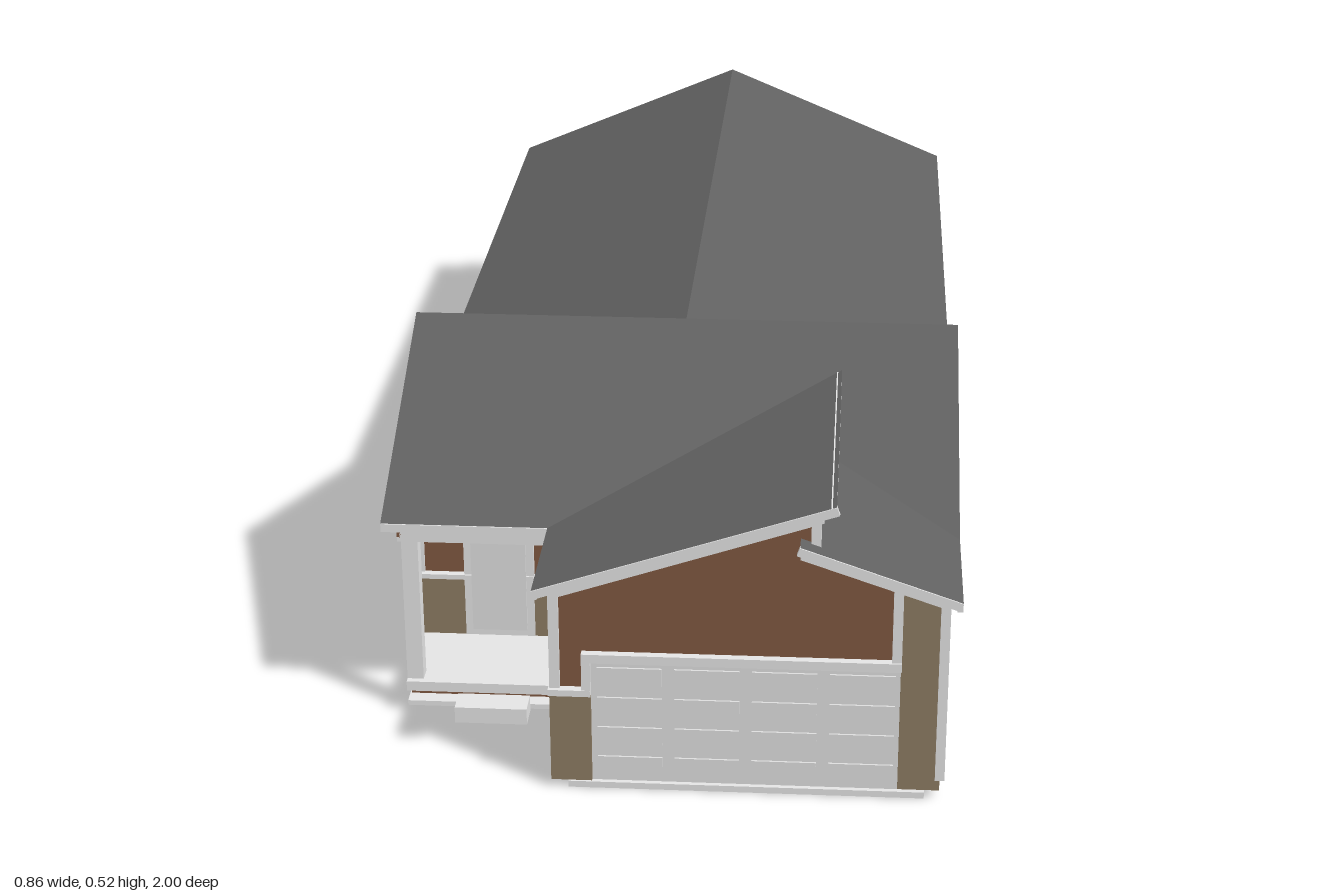
import * as THREE from 'three';

const mat = (name, color, side = THREE.FrontSide) => {
  const m = new THREE.MeshStandardMaterial({ color, side });
  m.name = name;
  return m;
};

export function createModel() {
  const house = new THREE.Group();
  house.name = 'house';
  const siding = mat('brown siding', 0x7f5840);
  const trim = mat('light trim', 0xe4e4e4);
  const stone = mat('tan stone', 0x8c7b62);
  const shingle = mat('grey shingles', 0x616161, THREE.DoubleSide);
  const glass = mat('pale glass', 0xd6d6d6);
  const doorPaint = mat('door paint', 0xdedede);

  const add = (name, geo, material, parent = house) => {
    const m = new THREE.Mesh(geo, material);
    m.name = name;
    parent.add(m);
    return m;
  };
  // Box given by its limits
  const box = (name, material, x0, x1, y0, y1, z0, z1, parent = house) => {
    const m = add(name, new THREE.BoxGeometry(x1 - x0, y1 - y0, z1 - z0), material, parent);
    m.position.set((x0 + x1) / 2, (y0 + y1) / 2, (z0 + z1) / 2);
    return m;
  };
  const T = 0.01; // wall thickness
  const plate = pts => new THREE.ExtrudeGeometry(
    new THREE.Shape(pts.map(p => new THREE.Vector2(...p))), { depth: T, bevelEnabled: false });
  // Wall across x (points are x, y), from z to z + T
  const wallZ = (name, z, pts) => { add(name, plate(pts), siding).position.z = z; };
  // Wall along z (points are z, y), from x - T to x
  const wallX = (name, x, pts) => {
    const m = add(name, plate(pts), siding);
    m.rotation.y = -Math.PI / 2;
    m.position.x = x;
  };
  // Flat polygon of roofing
  const roof = (name, ...pts) => {
    const pos = [];
    for (let i = 1; i < pts.length - 1; i++) pos.push(...pts[0], ...pts[i], ...pts[i + 1]);
    const g = new THREE.BufferGeometry();
    g.setAttribute('position', new THREE.Float32BufferAttribute(pos, 3));
    g.computeVertexNormals();
    add(name, g, shingle);
  };
  // Trim board whose top edge runs from a to b
  const board = (name, a, b, h = 0.013, t = 0.008) => {
    const A = new THREE.Vector3(...a), B = new THREE.Vector3(...b);
    const dir = B.clone().sub(A), len = dir.length();
    dir.normalize();
    const side = dir.clone().cross(new THREE.Vector3(0, 1, 0)).normalize();
    const up = side.clone().cross(dir);
    const m = add(name, new THREE.BoxGeometry(len, h, t), trim);
    m.quaternion.setFromRotationMatrix(new THREE.Matrix4().makeBasis(dir, up, side));
    m.position.copy(A).add(B).multiplyScalar(0.5).addScaledVector(up, -h / 2 - 0.001);
  };

  // Roofs
  const E = 0.332, R = 0.52, RZ = 0.42, W = 0.43;
  const V = [0, 0.512, 0.4];
  for (const s of [-1, 1]) {
    const flip = a => (s < 0 ? a : a.reverse());
    roof('rearRoof', ...flip([[s * W, E, -1], [s * W, E, 0.04], V, [0, 0.512, -1]]));
    roof('crossRoofBack', ...flip([V, [s * W, E, 0.04], [s * W, R, RZ], [0, R, RZ]]));
    board('rearEaveFascia', [s * 0.426, E, -1], [s * 0.426, E, 0.04]);
    board('rearRake', [s * W, E, -0.996], [0, 0.512, -0.996]);
    board('rearFrieze', [s * 0.41, E - 0.008, -0.966], [0, 0.5, -0.966], 0.015);
    board('crossRakeBack', [s * 0.426, E, 0.04], [s * 0.426, R, RZ]);
    board('crossRakeFront', [s * 0.426, E, 0.8], [s * 0.426, R, RZ]);
  }
  roof('crossRoofFront', [-W, R, RZ], [-W, E, 0.8], [W, E, 0.8], [W, R, RZ]);
  roof('garageRoofHigh', [-0.18, E, 1], [0.25, 0.476, 1], [0.25, 0.476, 0.51], [-0.18, E, 0.8]);
  roof('garageRoofLow', [W, E, 1], [W, E, 0.8], [0.2, 0.412, 0.64], [0.2, 0.412, 1]);
  board('porchFascia', [-W, E, 0.796], [-0.18, E, 0.796]);
  board('garageEaveLeft', [-0.176, E, 0.8], [-0.176, E, 1]);
  board('garageEaveRight', [0.426, E, 0.8], [0.426, E, 1]);
  board('garageRakeHigh', [-0.18, E, 0.996], [0.25, 0.476, 0.996]);
  board('garageRakeLow', [W, E, 0.996], [0.2, 0.412, 0.996]);
  board('garageHighEdge', [0.246, 0.475, 0.51], [0.246, 0.475, 1]);
  board('garageFriezeHigh', [-0.155, E - 0.006, 0.978], [0.228, 0.456, 0.978], 0.014);
  board('garageFriezeLow', [0.405, 0.329, 0.978], [0.205, 0.398, 0.978], 0.014);

  // Walls
  wallX('rightWall', 0.41, [[-0.96, 0.03], [0.965, 0.03], [0.965, 0.322], [0.8, 0.322],
    [0.42, 0.51], [0.04, 0.322], [-0.96, 0.322]]);
  wallX('leftWall', -0.4, [[-0.7, 0.03], [0.62, 0.03], [0.62, 0.3], [0.78, 0.3], [0.78, 0.33],
    [0.42, 0.51], [0.04, 0.322], [-0.7, 0.322]]);
  wallZ('backWall', -0.96, [[0.4, 0.03], [0.4, 0.328], [0, 0.5], [-0.41, 0.322], [-0.41, 0.295],
    [0.015, 0.295], [0.015, 0.03]]);
  wallZ('backPorchWall', -0.7, [[-0.4, 0.03], [0.015, 0.03], [0.015, 0.5], [-0.4, 0.325]]);
  wallX('backPorchSideWall', 0.025, [[-0.95, 0.03], [-0.7, 0.03], [-0.7, 0.49], [-0.95, 0.49]]);
  wallZ('entryWall', 0.61, [[-0.4, 0.03], [-0.155, 0.03], [-0.155, 0.32], [-0.4, 0.32]]);
  wallX('garageLeftWall', -0.145, [[0.62, 0.012], [0.965, 0.012], [0.965, 0.326], [0.62, 0.326]]);
  wallZ('garageFrontWall', 0.96, [[-0.155, 0.012], [0.4, 0.012], [0.4, 0.328], [0.225, 0.392],
    [0.225, 0.455], [-0.155, 0.328]]);
  wallX('clerestoryWall', 0.225, [[0.96, 0.39], [0.96, 0.458], [0.55, 0.458], [0.68, 0.39]]);

  // Floors and slabs
  box('floorMain', trim, -0.41, 0.41, 0.022, 0.03, -0.7, 0.62);
  box('floorBack', trim, 0.015, 0.41, 0.022, 0.03, -0.96, -0.7);
  box('garageSlab', trim, -0.135, 0.385, 0, 0.01, 0.41, 0.98);
  box('backPorchSlab', trim, -0.41, 0.015, 0.013, 0.025, -0.97, -0.7);
  box('frontPorchFooting', siding, -0.4, -0.155, 0.028, 0.04, 0.62, 0.77);
  box('frontPorchFloor', trim, -0.405, -0.155, 0.04, 0.056, 0.62, 0.785);
  box('frontPad', trim, -0.405, -0.155, 0.012, 0.02, 0.62, 0.78);
  box('frontStep', trim, -0.325, -0.215, 0.012, 0.038, 0.785, 0.828);

  // Back porch posts and beams
  box('backPost', trim, -0.412, -0.395, 0.02, 0.32, -0.97, -0.953);
  box('backHalfPost', trim, 0.008, 0.024, 0.02, 0.305, -0.967, -0.95);
  box('backBeam', trim, -0.412, 0.02, 0.293, 0.31, -0.968, -0.955);
  box('backSideBeam', trim, -0.412, -0.4, 0.293, 0.322, -0.96, -0.69);
  box('backPorchCorner', trim, -0.413, -0.395, 0.03, 0.3, -0.71, -0.692);

  // Front porch
  box('porchPost', trim, -0.405, -0.38, 0.05, 0.3, 0.75, 0.775);
  box('porchHalfPost', trim, -0.18, -0.155, 0.05, 0.3, 0.75, 0.775);
  box('porchBeam', trim, -0.41, -0.155, 0.293, 0.321, 0.75, 0.78);
  box('porchSideBeam', trim, -0.41, -0.39, 0.293, 0.321, 0.61, 0.78);
  box('porchCeiling', trim, -0.4, -0.155, 0.3, 0.306, 0.62, 0.76);
  box('entryStone', stone, -0.408, -0.155, 0.03, 0.155, 0.618, 0.628);
  box('entryStoneCap', trim, -0.41, -0.155, 0.154, 0.162, 0.618, 0.632);
  box('entryCorner', trim, -0.413, -0.398, 0.16, 0.3, 0.61, 0.624);
  box('entryDoorFrame', trim, -0.335, -0.225, 0.056, 0.3, 0.618, 0.629);
  box('entryDoor', doorPaint, -0.323, -0.237, 0.068, 0.29, 0.625, 0.634);

  // Garage front: stone, trim and panelled door
  box('garageStoneLeft', stone, -0.16, -0.1, 0.012, 0.155, 0.955, 0.98);
  box('garageStoneCap', trim, -0.162, -0.1, 0.153, 0.163, 0.955, 0.983);
  box('garageSideStone', stone, -0.159, -0.15, 0.012, 0.155, 0.62, 0.96);
  box('garageSideCap', trim, -0.162, -0.15, 0.153, 0.163, 0.62, 0.96);
  box('garageStoneRight', stone, 0.346, 0.407, 0.012, 0.33, 0.955, 0.976);
  box('garageCornerLeft', trim, -0.16, -0.145, 0.16, 0.322, 0.958, 0.977);
  box('garageTrimRight', trim, 0.333, 0.347, 0.21, 0.345, 0.965, 0.979);
  box('clerestoryTrim', trim, 0.215, 0.229, 0.395, 0.452, 0.955, 0.976);
  box('garageDoorHead', trim, -0.113, 0.347, 0.208, 0.222, 0.965, 0.982);
  box('garageDoorJamb', trim, -0.113, -0.1, 0.163, 0.21, 0.965, 0.982);
  box('garageDoor', doorPaint, -0.1, 0.346, 0.01, 0.208, 0.965, 0.973);
  for (let r = 0; r < 4; r++) {
    for (let c = 0; c < 4; c++) {
      const x = -0.091 + c * 0.112, y = 0.022 + r * 0.049;
      box('garageDoorPanel', doorPaint, x, x + 0.094, y, y + 0.029, 0.972, 0.976);
    }
  }

  // Corner boards
  box('frontRightCorner', trim, 0.4, 0.414, 0.03, 0.325, 0.962, 0.979);
  box('backRightCorner', trim, 0.398, 0.414, 0.03, 0.322, -0.966, -0.95);

  // Windows: built facing +z, then turned to the wall
  const windowUnit = (x, y, z, w, h, turn, bars = 0) => {
    const g = new THREE.Group();
    g.name = 'window';
    const f = 0.007;
    box('windowGlass', glass, -w / 2, w / 2, -h / 2, h / 2, -0.002, 0.003, g);
    for (const s of [-1, 1]) {
      const fx = s * (w - f) / 2, fy = s * (h - f) / 2;
      box('windowJamb', trim, fx - f / 2, fx + f / 2, -h / 2, h / 2, -0.002, 0.006, g);
      box('windowRail', trim, -w / 2, w / 2, fy - f / 2, fy + f / 2, -0.002, 0.006, g);
    }
    if (bars) box('windowMullion', trim, -0.003, 0.003, -h / 2, h / 2, -0.002, 0.006, g);
    else box('windowMeetingRail', trim, -w / 2, w / 2, -0.002, 0.002, -0.002, 0.005, g);
    g.position.set(x, y, z);
    g.rotation.y = turn;
    house.add(g);
  };
  const L = -Math.PI / 2, B = Math.PI;
  windowUnit(0.41, 0.193, 0.183, 0.085, 0.14, Math.PI / 2);
  windowUnit(-0.41, 0.19, -0.62, 0.08, 0.135, L);
  windowUnit(-0.41, 0.195, -0.12, 0.135, 0.135, L, 1);
  windowUnit(-0.41, 0.237, 0.228, 0.135, 0.05, L, 1);
  windowUnit(-0.41, 0.215, 0.48, 0.045, 0.11, L);
  windowUnit(0.215, 0.195, -0.96, 0.17, 0.135, B, 1);
  windowUnit(-0.33, 0.19, -0.7, 0.085, 0.135, B);
  windowUnit(-0.17, 0.19, -0.7, 0.1, 0.135, B, 1);
  box('backDoorFrame', trim, -0.1, -0.005, 0.025, 0.25, -0.705, -0.698);
  box('backDoor', doorPaint, -0.092, -0.013, 0.03, 0.242, -0.709, -0.7);

  return house;
}
